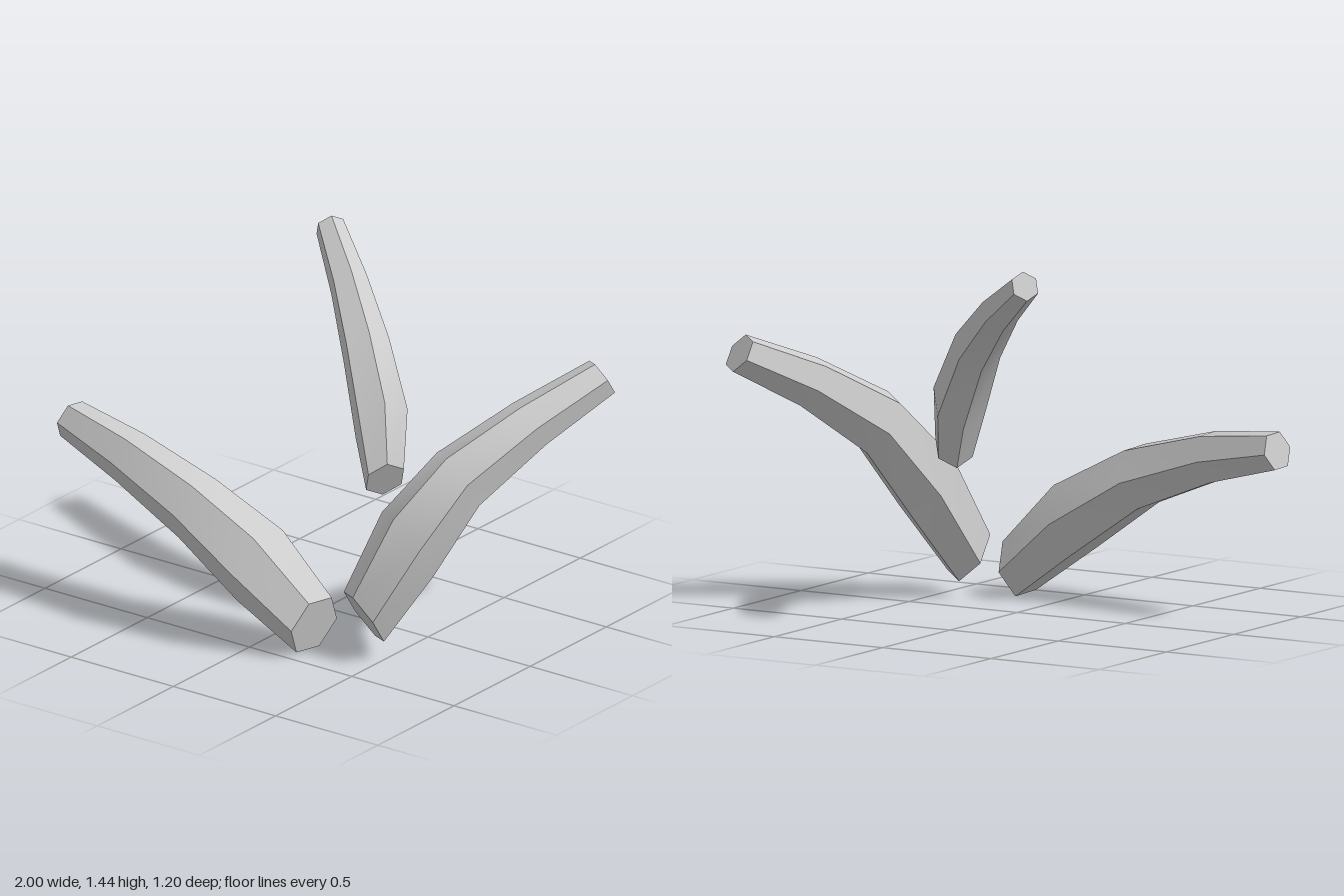
import * as THREE from 'three';
import { toCreasedNormals } from 'three/addons/utils/BufferGeometryUtils.js';

const material = new THREE.MeshStandardMaterial({ color: 0xcccccc });

// Bent six-sided claw: rings are [x, y, z, radius] from root to tip.
// All rings share one plane direction (axis) and one corner direction (corner).
function createClaw(name, axis, corner, rings) {
  const up = new THREE.Vector3(...axis).normalize();
  const first = new THREE.Vector3(...corner);
  first.addScaledVector(up, -first.dot(up)).normalize();
  const side = new THREE.Vector3().crossVectors(up, first);

  const segments = rings.length - 1;
  const geometry = new THREE.CylinderGeometry(1, 1, 1, 6, segments);
  const pos = geometry.attributes.position;
  const v = new THREE.Vector3();
  for (let i = 0; i < pos.count; i++) {
    const [x, y, z, r] = rings[Math.round((pos.getY(i) + 0.5) * segments)];
    v.set(x, y, z)
      .addScaledVector(side, pos.getX(i) * r)
      .addScaledVector(first, pos.getZ(i) * r);
    pos.setXYZ(i, v.x, v.y, v.z);
  }
  // Smooth along the length, sharp along the six long edges
  const mesh = new THREE.Mesh(toCreasedNormals(geometry, 0.7), material);
  mesh.name = name;
  return mesh;
}

export function createModel() {
  const group = new THREE.Group();
  group.name = 'claws';

  group.add(
    // Long claw reaching to the right
    createClaw('rightClaw', [-0.96, 0.23, -0.15], [-0.135, 0.08, 0.99], [
      [0.23, 0.11, 0.385, 0.128],
      [0, 0.32, 0.43, 0.165],
      [-0.29, 0.5, 0.455, 0.136],
      [-0.65, 0.615, 0.415, 0.108],
      [-0.98, 0.675, 0.355, 0.08],
    ]),
    // Long claw rising to the left and back
    createClaw('leftClaw', [0.43, 0.515, -0.74], [0, 0.82, 0.57], [
      [0.408, 0.16, 0.297, 0.128],
      [0.52, 0.45, 0.16, 0.165],
      [0.64, 0.7, -0.01, 0.136],
      [0.793, 0.885, -0.275, 0.107],
      [0.935, 1.025, -0.56, 0.082],
    ]),
    // Smaller upper claw
    createClaw('upperClaw', [-0.77, 0.4, -0.505], [-0.36, 0.45, 0.82], [
      [0.305, 0.625, 0.02, 0.085],
      [0.24, 0.825, -0.045, 0.117],
      [0.095, 1.068, -0.14, 0.102],
      [-0.105, 1.245, -0.295, 0.08],
      [-0.32, 1.385, -0.457, 0.06],
    ]),
  );
  return group;
}
